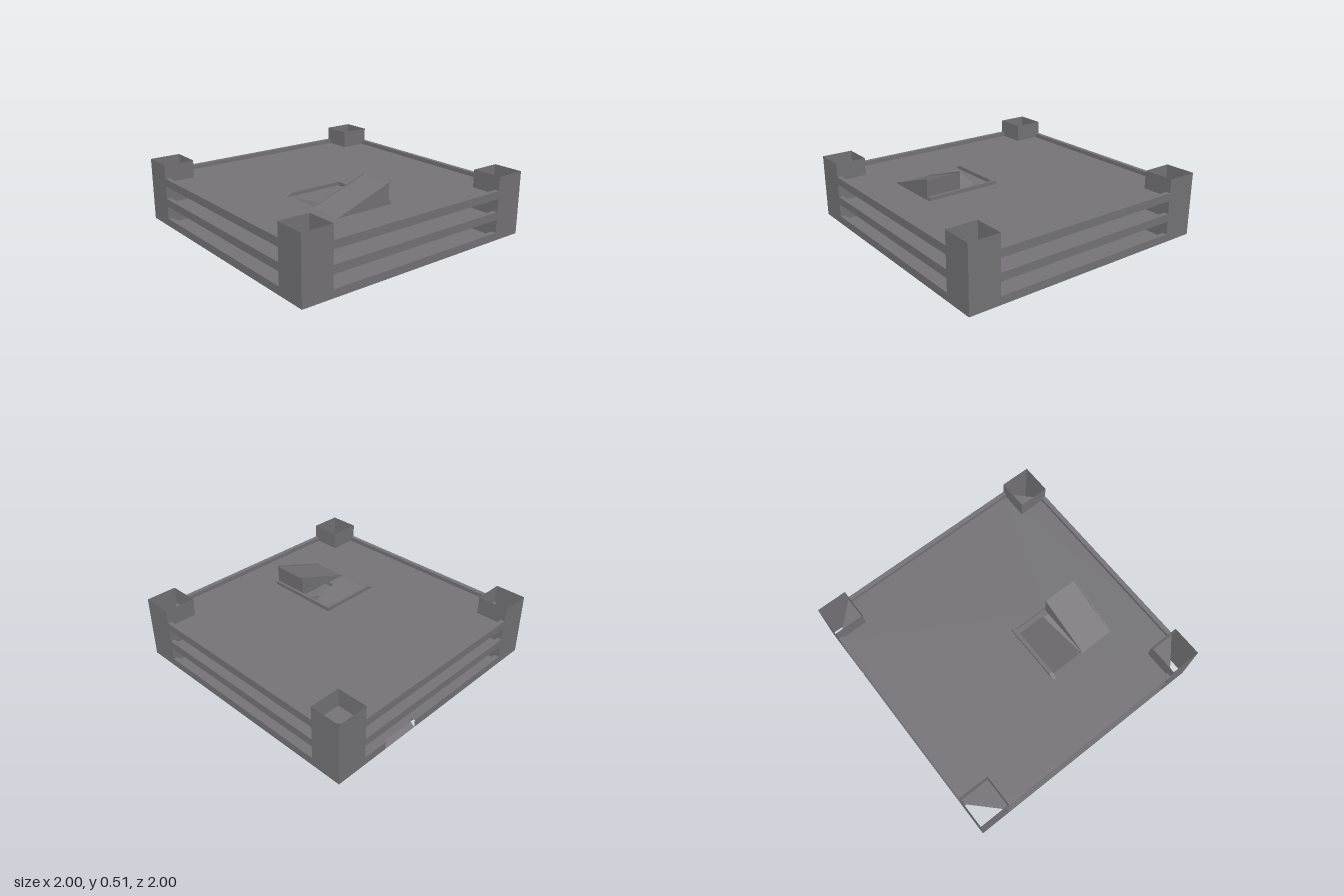
import * as THREE from 'three';

const concrete = new THREE.MeshStandardMaterial({ color: 0x777579, side: THREE.DoubleSide });
concrete.name = 'concrete grey';

const HALF = 1, INNER = 0.76, RIM = 0.965;
const FLOORS = [0.028, 0.19, 0.352];   // deck heights

function add(parent, name, geometry) {
  const mesh = new THREE.Mesh(geometry, concrete);
  mesh.name = name;
  parent.add(mesh);
  return mesh;
}

function box(parent, name, x0, x1, y0, y1, z0, z1) {
  const g = new THREE.BoxGeometry(x1 - x0, y1 - y0, z1 - z0);
  g.translate((x0 + x1) / 2, (y0 + y1) / 2, (z0 + z1) / 2);
  return add(parent, name, g);
}

const toPoints = (list) => list.map(([a, b]) => new THREE.Vector2(a, b));

// Flat deck from an outline in x and z, with an optional rectangular opening
function deck(parent, name, y, outline, hole) {
  const shape = new THREE.Shape(toPoints(outline));
  if (hole) {
    const [x0, x1, z0, z1] = hole;
    shape.holes.push(new THREE.Path(toPoints([[x0, z0], [x0, z1], [x1, z1], [x1, z0]])));
  }
  const g = new THREE.ShapeGeometry(shape);
  g.rotateX(Math.PI / 2);
  g.translate(0, y, 0);
  add(parent, name, g);
}

// Solid whose side profile is given in z and y, running from x0 to x1
function sideProfile(parent, name, profile, x0, x1) {
  const g = new THREE.ExtrudeGeometry(new THREE.Shape(toPoints(profile)),
    { depth: x1 - x0, bevelEnabled: false });
  g.rotateY(-Math.PI / 2);
  g.translate(x1, 0, 0);
  add(parent, name, g);
}

// Open sheet swept in a straight line: section of (outward, y) points from a to b
function parapet(parent, y, side, a, b) {
  const section = [[HALF, y - 0.028], [HALF, y + 0.033], [RIM, y + 0.033], [RIM, y]];
  const pos = [];
  for (let i = 0; i < 3; i++) {
    const [p, q] = [section[i], section[i + 1]];
    const v = [[a, p[1], p[0]], [b, p[1], p[0]], [b, q[1], q[0]], [a, q[1], q[0]]];
    for (const k of [0, 1, 2, 0, 2, 3]) pos.push(...v[k]);
  }
  const g = new THREE.BufferGeometry();
  g.setAttribute('position', new THREE.Float32BufferAttribute(pos, 3));
  g.computeVertexNormals();
  g.rotateY(side * Math.PI / 2);
  add(parent, 'parapet', g);
}

// Wedge ramp; dir -1 climbs toward the back, +1 toward the front
function ramp(parent, y, x0, x1, dir, curbs) {
  const place = (pts) => pts.map(([a, h]) => [dir < 0 ? a : 0.44 - a, y + h]);
  const group = new THREE.Group();
  group.name = 'ramp';
  parent.add(group);
  sideProfile(group, 'rampWedge', place([[0.45, 0], [0, 0.153], [0.008, 0]]), x0, x1);
  if (!curbs) return;
  for (const x of [x0, x1 - 0.008]) {
    sideProfile(group, 'rampCurb',
      place([[0.458, 0], [0.45, 0.004], [0, 0.163], [0.008, 0]]), x, x + 0.008);
  }
}

export function createModel() {
  const model = new THREE.Group();
  model.name = 'parkingGarage';

  // Square open-topped corner pillars
  for (const sx of [-1, 1]) for (const sz of [-1, 1]) {
    const g = new THREE.CylinderGeometry(0.24 / Math.SQRT2, 0.24 / Math.SQRT2, 0.49, 4, 1, true).toNonIndexed();
    g.rotateY(Math.PI / 4);
    g.translate(sx * 0.88, 0.245, sz * 0.88);
    g.computeVertexNormals();
    add(model, 'cornerPillar', g);
  }

  // Ground floor, notched around the pillars
  const R = RIM, I = INNER;
  deck(model, 'groundFloor', FLOORS[0], [
    [-I, -R], [I, -R], [I, -I], [R, -I], [R, I], [I, I],
    [I, R], [-I, R], [-I, I], [-R, I], [-R, -I], [-I, -I]]);

  // Upper decks with cut corners and ramp openings
  const octagon = [[-I, -1], [I, -1], [1, -I], [1, I], [I, 1], [-I, 1], [-1, I], [-1, -I]];
  deck(model, 'middleDeck', FLOORS[1], octagon, [0.385, 0.655, 0, 0.45]);
  deck(model, 'topDeck', FLOORS[2], octagon, [0.1, 0.375, 0, 0.44]);

  // Parapets on four sides, with an entrance gap in the lowest right one
  FLOORS.forEach((y, level) => {
    for (let side = 0; side < 4; side++) {
      if (level === 0 && side === 3) {
        parapet(model, y, side, -I, -0.56);
        parapet(model, y, side, -0.26, I);
      } else parapet(model, y, side, -I, I);
    }
  });

  // Entrance slope in the gap
  const slope = new THREE.PlaneGeometry(Math.hypot(0.035, 0.028), 0.3);
  slope.rotateX(-Math.PI / 2);
  slope.rotateZ(Math.atan2(0.028, 0.035));
  slope.translate(-0.9825, 0.014, -0.41);
  add(model, 'entranceSlope', slope);

  // Ramps alternate direction from floor to floor
  ramp(model, FLOORS[0], 0.378, 0.66, -1, true);
  ramp(model, FLOORS[1], 0.095, 0.375, 1, false);
  ramp(model, FLOORS[2], 0.378, 0.66, -1, true);

  // Low guards around the openings
  const top = FLOORS[2], mid = FLOORS[1], h = 0.028;
  box(model, 'backGuard', 0.07, 0.66, top, top + h, -0.02, 0);
  sideProfile(model, 'sideGuard',
    [[0, top], [0, top + h], [0.43, top + h], [0.48, top]], 0.07, 0.098);
  box(model, 'middleFrontGuard', 0.385, 0.69, mid, mid + h, 0.455, 0.475);
  box(model, 'middleSideGuard', 0.662, 0.69, mid, mid + h, 0, 0.455);

  return model;
}
